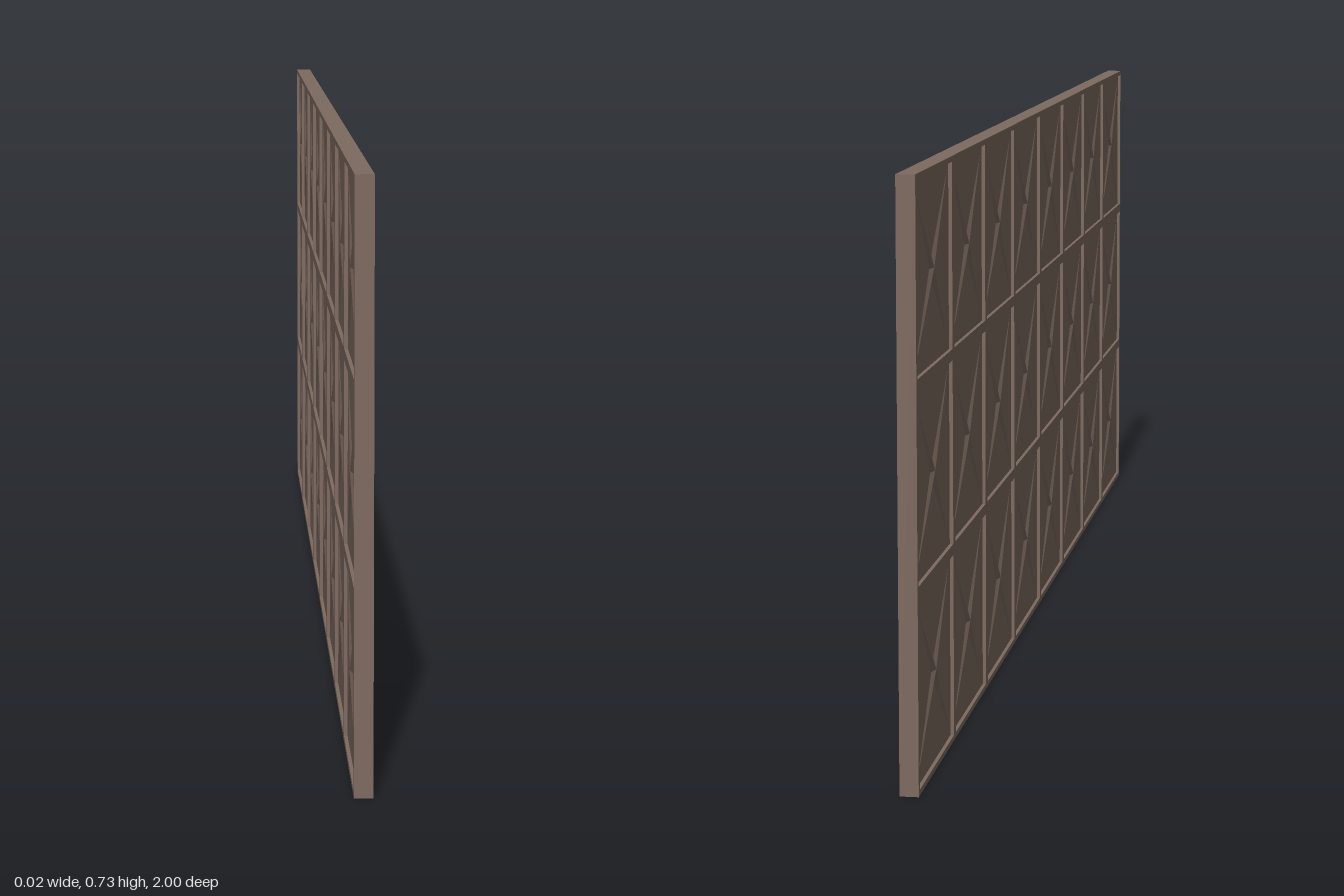
import * as THREE from 'three';

const LENGTH = 2, HEIGHT = 0.73, DEPTH = 0.023, COLS = 8, ROWS = 3;
const CELL_W = LENGTH / COLS, CELL_H = HEIGHT / ROWS;
const BAR = 0.007;   // half width of a bar between two cells
const SKIN = 0.007;  // distance of the infill face from the middle plane

// Flat frame with a rectangular opening for every cell
function frameGeometry() {
  const shape = new THREE.Shape();
  const rect = (path, x0, y0, x1, y1) =>
    path.moveTo(x0, y0).lineTo(x1, y0).lineTo(x1, y1).lineTo(x0, y1).closePath();
  rect(shape, -LENGTH / 2, 0, LENGTH / 2, HEIGHT);
  for (let c = 0; c < COLS; c++) {
    for (let r = 0; r < ROWS; r++) {
      const x = -LENGTH / 2 + c * CELL_W, y = r * CELL_H;
      const hole = new THREE.Path();
      rect(hole, x + BAR, y + BAR, x + CELL_W - BAR, y + CELL_H - BAR);
      shape.holes.push(hole);
    }
  }
  const geo = new THREE.ExtrudeGeometry(shape, { depth: DEPTH, bevelEnabled: false });
  return geo.translate(0, 0, -DEPTH / 2).rotateY(Math.PI / 2);
}

// Four-armed tapering ridge, highest in the middle, facing +z
function crossGeometry() {
  const a = CELL_W / 2 - 0.016, b = CELL_H / 2 - 0.016, n = 0.015, h = 0.0035;
  const ring = [[n, 0], [a, b], [0, n], [-a, b], [-n, 0], [-a, -b], [0, -n], [a, -b]];
  const pos = [];
  ring.forEach(([x, y], i) => {
    const [x2, y2] = ring[(i + 1) % ring.length];
    pos.push(0, 0, h, x, y, 0, x2, y2, 0);
  });
  const geo = new THREE.BufferGeometry();
  geo.setAttribute('position', new THREE.Float32BufferAttribute(pos, 3));
  geo.computeVertexNormals();
  return geo;
}

export function createModel() {
  const group = new THREE.Group();
  group.name = 'wallPanel';
  const material = new THREE.MeshStandardMaterial({ color: 0x7d6a60, flatShading: true });

  const add = (name, geo) => {
    const mesh = new THREE.Mesh(geo, material);
    mesh.name = name;
    group.add(mesh);
    return mesh;
  };

  add('frame', frameGeometry());

  // Recessed infill behind the openings
  const infill = new THREE.BoxGeometry(SKIN * 2, HEIGHT - BAR, LENGTH - BAR);
  add('infill', infill).position.y = HEIGHT / 2;

  // Cross ridges in every cell, on both faces
  const cross = crossGeometry();
  for (const side of [1, -1]) {
    for (let c = 0; c < COLS; c++) {
      for (let r = 0; r < ROWS; r++) {
        const mesh = add('crossRidge', cross);
        mesh.rotation.y = side * Math.PI / 2;
        mesh.position.set(side * SKIN, (r + 0.5) * CELL_H, -LENGTH / 2 + (c + 0.5) * CELL_W);
      }
    }
  }
  return group;
}
